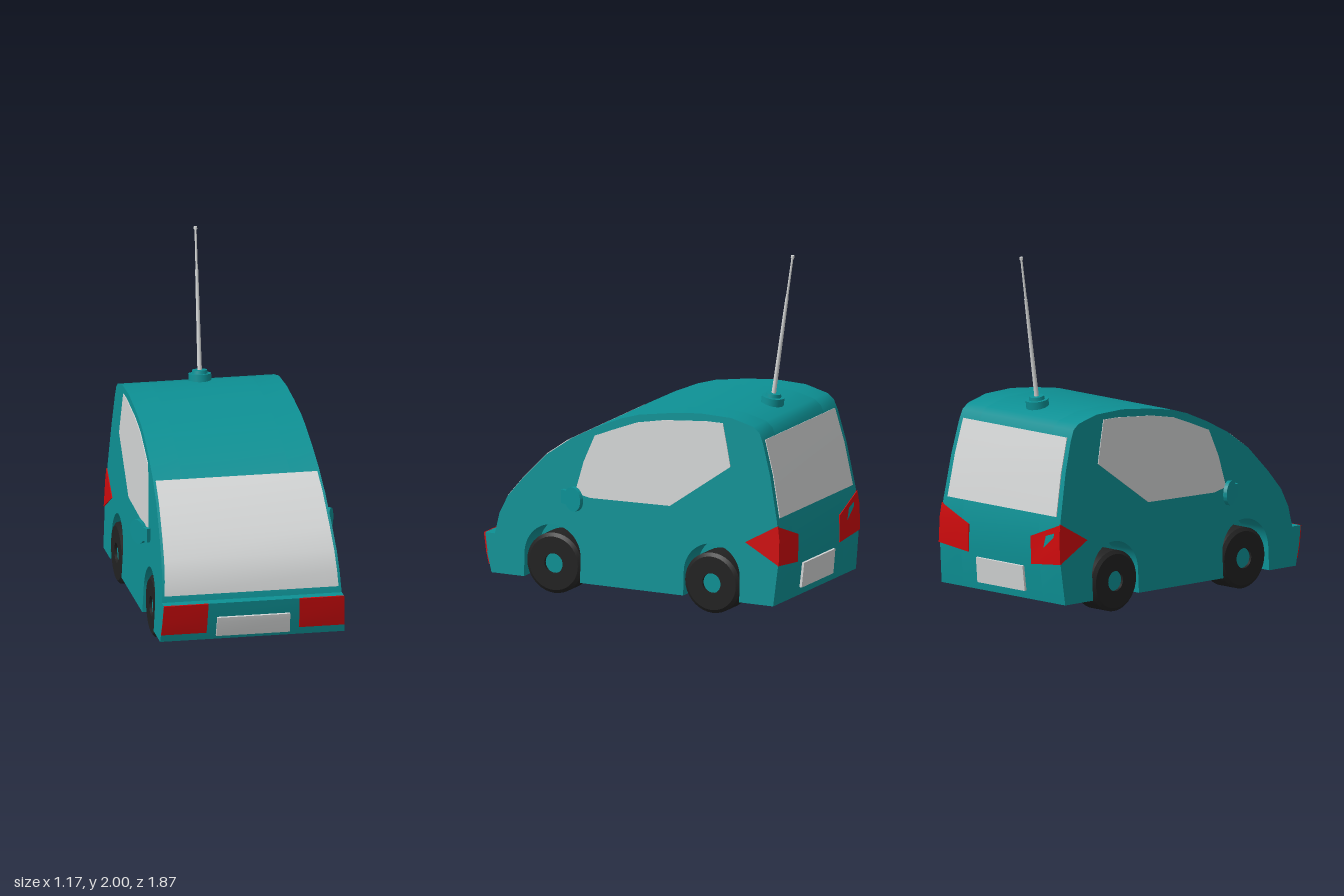
import * as THREE from 'three';
import { toCreasedNormals } from 'three/addons/utils/BufferGeometryUtils.js';

const mat = (name, color) => {
  const m = new THREE.MeshStandardMaterial({ color });
  m.name = name;
  return m;
};

export function createModel() {
  const teal = mat('teal paint', 0x0d9094);
  const grey = mat('light grey', 0xd2d4d4);
  const red = mat('red lamp', 0xcc0a0c);
  const black = mat('black rubber', 0x222222);

  const car = new THREE.Group();
  car.name = 'car';
  const add = (parent, name, geometry, material) => {
    const mesh = new THREE.Mesh(geometry, material);
    mesh.name = name;
    parent.add(mesh);
    return mesh;
  };

  // Half width of the body: narrows towards the roof and the rear
  const halfWidth = (y, z) => 0.5206 - 0.054 * y + 0.0155 * z;

  // Extrude a (z, y) shape across the car; u runs from -1 (right flank) to 1 (left flank)
  const slab = (shape, u0, u1) => {
    const g = new THREE.ExtrudeGeometry(shape, { depth: u1 - u0, bevelEnabled: false, curveSegments: 20 });
    g.rotateY(-Math.PI / 2).translate(u1, 0, 0);
    const p = g.attributes.position;
    for (let i = 0; i < p.count; i++) p.setX(i, p.getX(i) * halfWidth(p.getY(i), p.getZ(i)));
    return toCreasedNormals(g, 0.7);
  };
  const shapeOf = (pts) => new THREE.Shape(pts.map(([a, b]) => new THREE.Vector2(a, b)));

  // Thin panel lying on a stretch of the body profile
  const panel = (pts, u0, u1, thick = 0.005) => {
    const shifted = (d) => pts.map(([z, y], i) => {
      const a = pts[Math.max(i - 1, 0)], b = pts[Math.min(i + 1, pts.length - 1)];
      const dz = b[0] - a[0], dy = b[1] - a[1], l = Math.hypot(dz, dy);
      return [z + (dy / l) * d, y - (dz / l) * d];
    });
    return slab(shapeOf([...shifted(-0.004), ...shifted(thick).reverse()]), u0, u1);
  };

  // Body profile (z, y): front bumper, bonnet, roof, tail
  const profile = [
    [0.885, 0.085], [0.917, 0.2], [0.935, 0.31], [0.87, 0.31], [0.845, 0.43], [0.795, 0.535],
    [0.70, 0.65], [0.555, 0.80], [0.40, 0.91], [0.245, 0.99], [0.095, 1.055], [-0.02, 1.09],
    [-0.21, 1.12], [-0.40, 1.14], [-0.60, 1.135], [-0.74, 1.10], [-0.78, 1.07], [-0.805, 1.01],
    [-0.855, 0.83], [-0.905, 0.575], [-0.92, 0.47], [-0.92, 0.32], [-0.895, 0.085],
  ];
  const axles = [-0.503, 0.503];
  add(car, 'bodyCentre', slab(shapeOf(profile), -0.65, 0.65), teal);

  // Flanks with wheel arches cut out
  const flank = shapeOf(profile);
  for (const z of axles) {
    flank.lineTo(z - 0.177, 0.085);
    flank.lineTo(z - 0.177, 0.225);
    flank.absarc(z, 0.225, 0.177, Math.PI, 0, true);
    flank.lineTo(z + 0.177, 0.085);
  }
  add(car, 'leftFlank', slab(flank, 0.65, 1), teal);
  add(car, 'rightFlank', slab(flank, -1, -0.65), teal);

  // Windscreen, rear window and number plates
  add(car, 'windscreen', panel([[0.863, 0.345], [0.845, 0.43], [0.795, 0.535], [0.70, 0.65],
    [0.555, 0.80], [0.43, 0.89]], -0.97, 0.97), grey);
  add(car, 'rearWindow', panel([[-0.80, 1.025], [-0.855, 0.83], [-0.903, 0.585]], -0.93, 0.93), grey);
  add(car, 'frontPlate', panel([[0.892, 0.11], [0.917, 0.2], [0.921, 0.225]], -0.4, 0.4, 0.014), grey);
  add(car, 'rearPlate', panel([[-0.915, 0.275], [-0.9, 0.13]], -0.385, 0.385, 0.014), grey);

  const sideWindow = shapeOf([
    [0.37, 0.6], [0.32, 0.785], [0.255, 0.94], [0.12, 0.995], [-0.01, 1.045], [-0.18, 1.077],
    [-0.445, 1.10], [-0.55, 1.10], [-0.58, 0.97], [-0.605, 0.855], [-0.23, 0.59], [0.275, 0.58],
  ]);
  const tailSide = shapeOf([[-0.71, 0.435], [-0.912, 0.548], [-0.924, 0.47], [-0.924, 0.32]]);
  const tailBack = [[1.01, 0.545], [1.01, 0.47], [1.01, 0.32], [0.52, 0.295], [0.52, 0.455]];
  const rearZ = (y) => (y > 0.47 ? -0.92 + (y - 0.47) * 0.143 : y < 0.32 ? -0.92 + (0.32 - y) * 0.106 : -0.92);

  // Door mirror: round plate with a short stem
  const mirrorShape = new THREE.Shape();
  mirrorShape.moveTo(-0.1, -0.04);
  mirrorShape.lineTo(-0.057, -0.04);
  mirrorShape.absarc(0, 0, 0.07, Math.PI + 0.61, Math.PI - 0.61, false);
  mirrorShape.lineTo(-0.1, 0.04);
  const mirrorGeo = toCreasedNormals(new THREE.ExtrudeGeometry(mirrorShape,
    { depth: 0.022, bevelEnabled: false, curveSegments: 24 }).translate(0, 0, -0.011), 0.6);

  // Wheel parts, lying on the y axis
  const tyreGeo = toCreasedNormals(new THREE.LatheGeometry([
    [0.058, 0], [0.155, 0], [0.175, 0.014], [0.175, 0.15], [0.155, 0.165], [0.058, 0.165], [0.058, 0.13],
  ].map(([r, y]) => new THREE.Vector2(r, y)), 36), 0.5);
  const hubGeo = new THREE.CylinderGeometry(0.06, 0.06, 0.148, 28).translate(0, 0.075, 0);

  for (const s of [1, -1]) {
    const side = s > 0 ? 'left' : 'right';
    const span = (a, b) => (s > 0 ? [a, b] : [-b, -a]);

    add(car, side + 'Window', slab(sideWindow, ...span(0.99, 1.01)), grey);
    add(car, side + 'Headlamp', panel([[0.898, 0.13], [0.917, 0.2], [0.935, 0.31]], ...span(0.505, 1)), red);

    // Tail lamp wrapping round the rear corner
    add(car, side + 'TailLampSide', slab(tailSide, ...span(0.99, 1.01)), red);
    const back = new THREE.ExtrudeGeometry(shapeOf(tailBack.map(([u, y]) => [s * u * halfWidth(y, -0.92), y])),
      { depth: 0.009, bevelEnabled: false });
    const p = back.attributes.position;
    for (let i = 0; i < p.count; i++) p.setZ(i, rearZ(p.getY(i)) - 0.006 + p.getZ(i));
    add(car, side + 'TailLampBack', toCreasedNormals(back, 0.5), red);

    const mirror = add(car, side + 'Mirror', mirrorGeo, teal);
    mirror.position.set(s * 0.547, 0.575, 0.352);
    mirror.rotation.y = s > 0 ? 1.17 : Math.PI - 1.17;

    for (const z of axles) {
      const wheel = new THREE.Group();
      wheel.name = side + (z > 0 ? 'Front' : 'Rear') + 'Wheel';
      wheel.position.set(s * 0.34, 0.175, z);
      wheel.rotation.z = -s * Math.PI / 2;
      add(wheel, 'tyre', tyreGeo, black);
      add(wheel, 'hub', hubGeo, teal);
      car.add(wheel);
    }
  }

  // Aerial leaning backwards on a stepped base
  const aerial = new THREE.Group();
  aerial.name = 'aerial';
  aerial.position.set(0, 1.13, -0.627);
  aerial.rotation.x = -0.148;
  const rod = (name, r0, r1, y0, y1, material) => add(aerial, name,
    new THREE.CylinderGeometry(r1, r0, y1 - y0, 24).translate(0, (y0 + y1) / 2, 0), material);
  rod('aerialBase', 0.065, 0.065, -0.02, 0.038, teal);
  rod('aerialCollar', 0.045, 0.042, 0.038, 0.058, teal);
  rod('lowerRod', 0.013, 0.009, 0.05, 0.63, grey);
  rod('upperRod', 0.007, 0.006, 0.63, 0.865, grey);
  rod('aerialTip', 0.01, 0.01, 0.862, 0.878, grey);
  car.add(aerial);

  return car;
}
